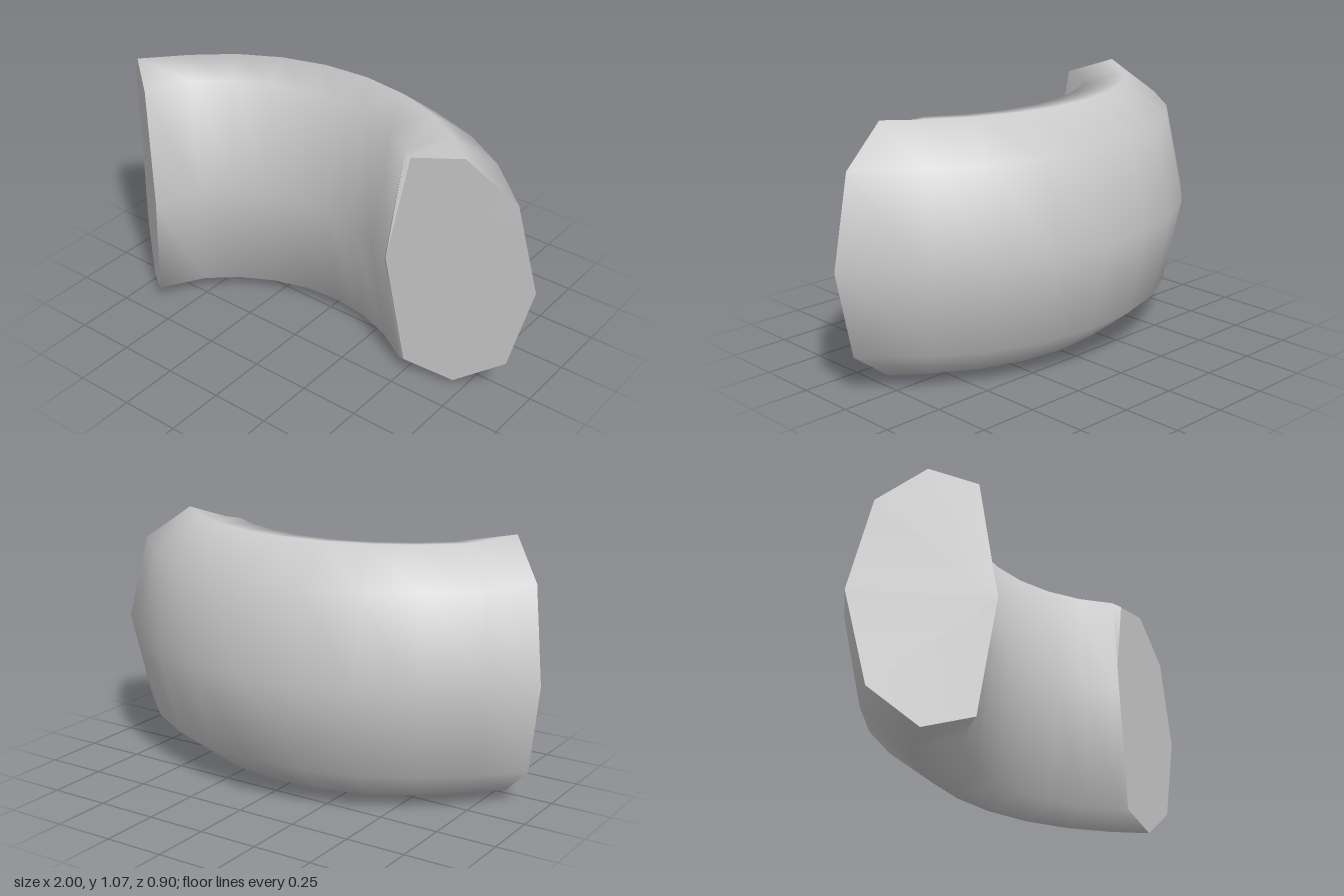
import * as THREE from 'three';

const MID_Y = 0.5375, CENTRE_Z = 0.74;

// Upper half of an octagonal section, inner side to outer side; mirrored below.
// Each half-section point is [x, z, height above the mid plane].
function octagon(half) {
  const lower = half.slice(1, 4).reverse().map(([x, z, h]) => [x, z, -h]);
  return [...half, ...lower].map(([x, z, h]) => new THREE.Vector3(x, MID_Y + h, z));
}

// Regular section of the bend: [radius, height]
const PROFILE = [[0.675, 0], [0.745, 0.487], [0.93, 0.517], [1.12, 0.367], [1.195, 0]];

function bendRing(degrees) {
  const a = THREE.MathUtils.degToRad(degrees);
  return octagon(PROFILE.map(([r, h]) =>
    [r * Math.sin(a) + 0.01, CENTRE_Z - r * Math.cos(a), h]));
}

function geometryFrom(points, index) {
  const g = new THREE.BufferGeometry().setFromPoints(points);
  g.setIndex(index);
  g.computeVertexNormals();
  return g;
}

// Smooth skin through all rings
function skin(rings) {
  const n = rings[0].length, index = [];
  for (let i = 0; i < rings.length - 1; i++) {
    for (let j = 0; j < n; j++) {
      const k = (j + 1) % n;
      const a = i * n + j, b = i * n + k, c = a + n, d = b + n;
      index.push(a, c, b, b, c, d);
    }
  }
  return geometryFrom(rings.flat(), index);
}

// Flat end cap
function cap(ring, flip) {
  const index = [];
  for (let j = 1; j < ring.length - 1; j++) {
    index.push(0, flip ? j + 1 : j, flip ? j : j + 1);
  }
  return geometryFrom(ring, index);
}

export function createModel() {
  const group = new THREE.Group();
  group.name = 'curvedPipe';
  const material = new THREE.MeshStandardMaterial({ color: 0xcccccc });
  const add = (name, geometry) => {
    const mesh = new THREE.Mesh(geometry, material);
    mesh.name = name;
    group.add(mesh);
  };

  // Skewed sections where the bend is cut off
  const rightEnd = octagon([
    [-0.57, 0.45, 0], [-0.63, 0.405, 0.483], [-0.785, 0.283, 0.535],
    [-0.935, 0.155, 0.383], [-1, 0.09, 0]]);
  const leftEnd = octagon([
    [0.415, 0.188, 0], [0.5, 0.165, 0.475], [0.705, 0.11, 0.517],
    [0.91, 0.055, 0.367], [1, 0.032, 0]]);

  const rings = [rightEnd];
  for (let i = 0; i < 8; i++) rings.push(bendRing(-46.5 + i * 12));
  rings.push(leftEnd);

  add('bend', skin(rings));
  add('rightEndCap', cap(rightEnd, false));
  add('leftEndCap', cap(leftEnd, true));
  return group;
}
